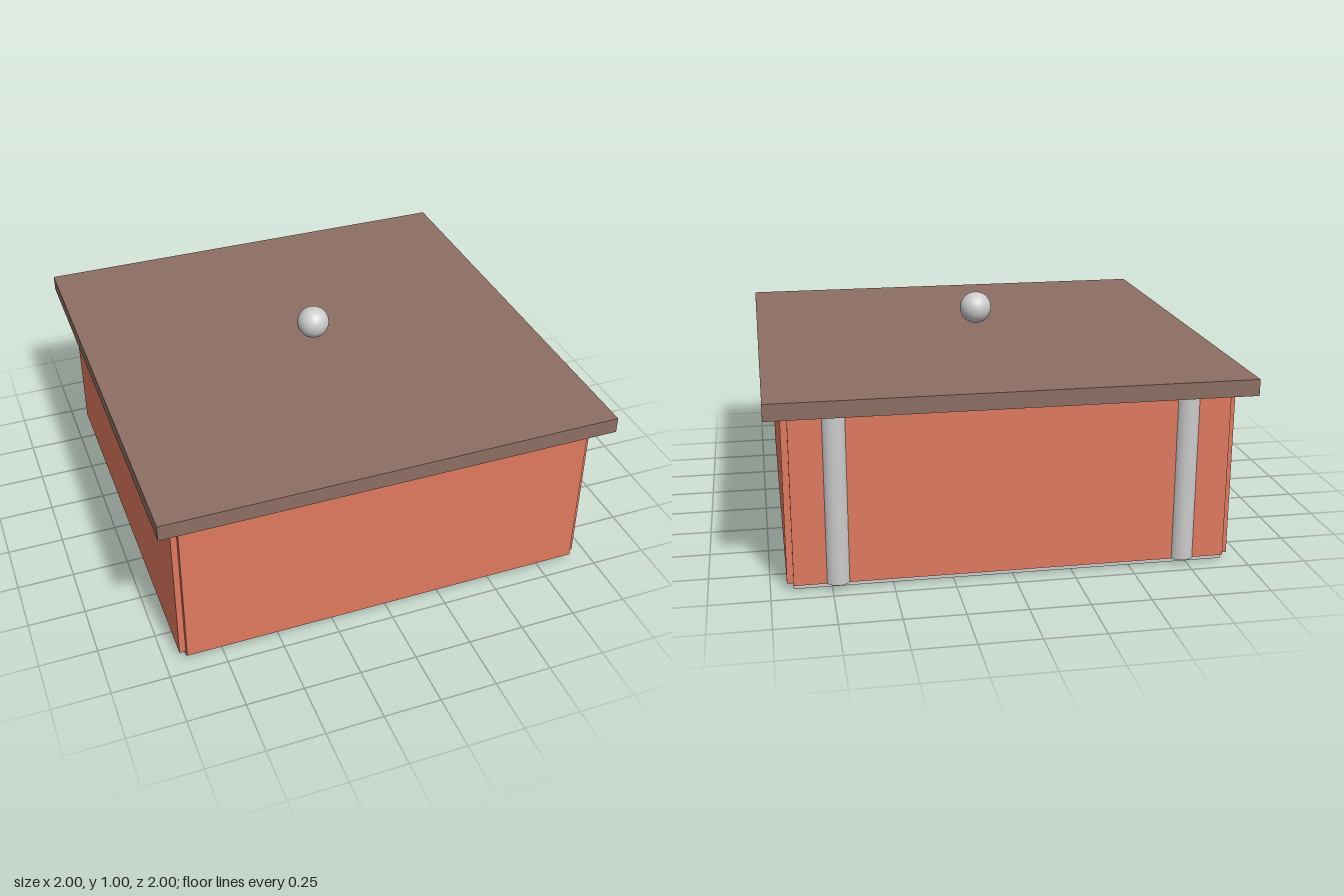
import * as THREE from 'three';

const W = 1.813;        // floor width, wall centrelines sit on its edges
const T = 0.053;        // panel thickness
const BOTTOM = 0.026;   // lower edge of the walls
const TOP = 0.75;       // upper edge of the walls
const H = TOP - BOTTOM;

export function createModel() {
  const model = new THREE.Group();
  model.name = 'liddedBox';

  const grey = new THREE.MeshStandardMaterial({ color: 0xcccccc });
  const terracotta = new THREE.MeshStandardMaterial({ color: 0xe07a5f });
  const brown = new THREE.MeshStandardMaterial({ color: 0x8d6e63 });

  const add = (name, geometry, material, x, y, z) => {
    const mesh = new THREE.Mesh(geometry, material);
    mesh.name = name;
    mesh.position.set(x, y, z);
    model.add(mesh);
    return mesh;
  };

  // Floor panel
  add('floor', new THREE.BoxGeometry(W, T, W), grey, 0, T / 2, 0);

  // Four wall panels, leaving a small notch at each corner
  const midY = BOTTOM + H / 2;
  const wall = new THREE.BoxGeometry(W, H, T);
  ['frontWall', 'leftWall', 'backWall', 'rightWall'].forEach((name, i) => {
    const a = i * Math.PI / 2;
    add(name, wall, terracotta, Math.sin(a) * W / 2, midY, Math.cos(a) * W / 2).rotation.y = a;
  });

  // Upright hinge rods half sunk into the back wall
  const rod = new THREE.CylinderGeometry(T, T, H, 32);
  for (const side of [1, -1]) {
    add(side > 0 ? 'leftHinge' : 'rightHinge', rod, grey, side * 0.726, midY, -W / 2);
  }

  // Overhanging lid with a round knob floating above it
  add('lid', new THREE.BoxGeometry(2, 0.07, 2), brown, 0, TOP + 0.035, 0);
  add('knob', new THREE.SphereGeometry(0.072, 32, 24), grey, 0, 0.93, 0);

  return model;
}
